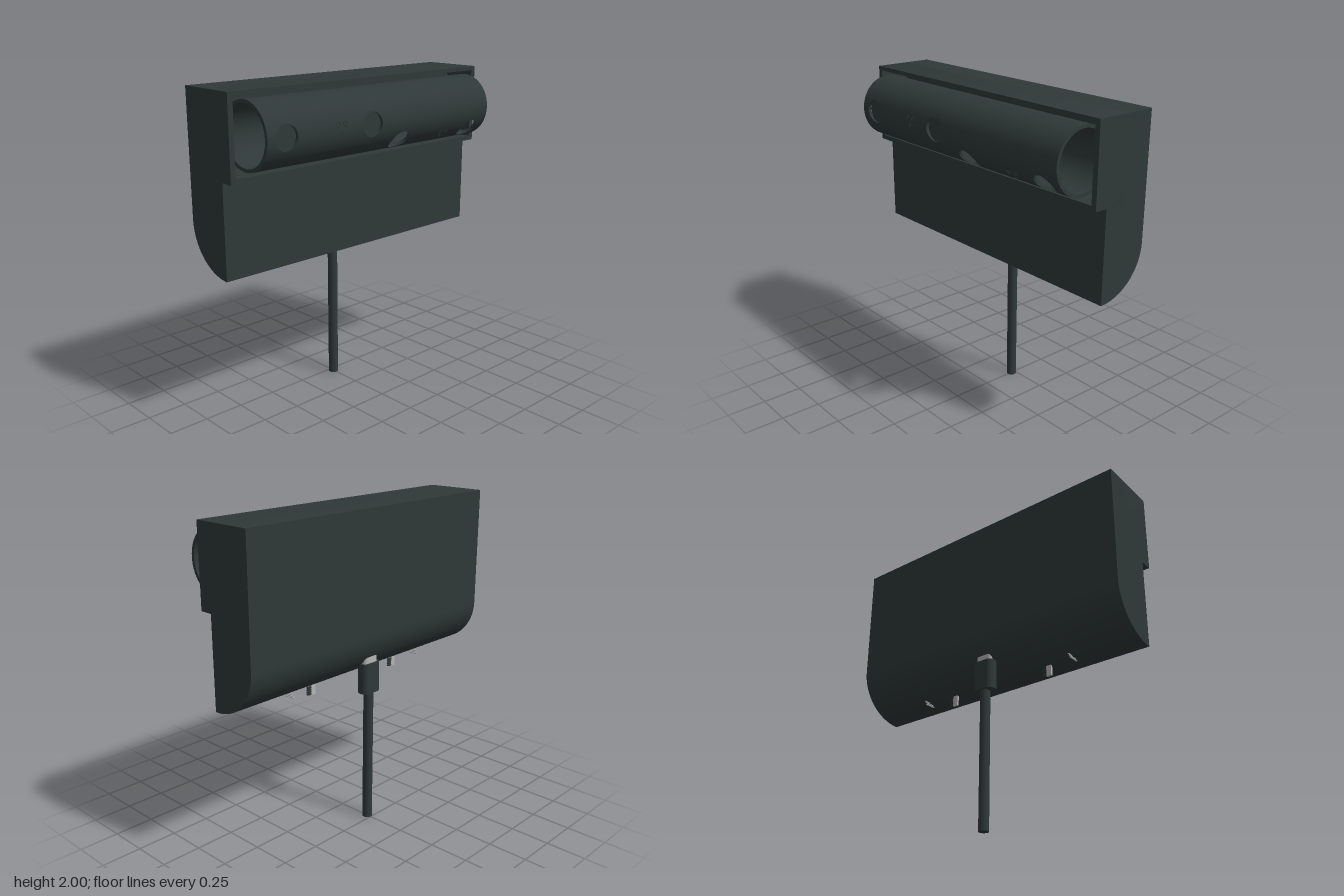
import * as THREE from 'three';
import { toCreasedNormals } from 'three/addons/utils/BufferGeometryUtils.js';
import { ParametricGeometry } from 'three/addons/geometries/ParametricGeometry.js';

const CY = 1.76, CZ = 0.1, R_OUT = 0.195, R_IN = 0.175; // tube axis and radii
const HOLE = 0.073, HALF_X = 0.1, HALF_A = 0.5;         // round holes and the patch around each

export function createModel() {
  const model = new THREE.Group();
  const casing = new THREE.MeshStandardMaterial({ color: 0x2f3838 });
  casing.name = 'dark casing';
  const shell = new THREE.MeshStandardMaterial({ color: 0x2f3838, side: THREE.DoubleSide });
  shell.name = 'dark casing thin';
  const metal = new THREE.MeshStandardMaterial({ color: 0xb4b4b4 });
  metal.name = 'light metal';

  const add = (name, geo, mat, x = 0, y = 0, z = 0, parent = model) => {
    const mesh = new THREE.Mesh(geo, mat);
    mesh.name = name;
    mesh.position.set(x, y, z);
    parent.add(mesh);
    return mesh;
  };
  const roundRect = (w, h, r) => {
    const s = new THREE.Shape(), x = w / 2, y = h / 2;
    s.moveTo(-x + r, -y);
    s.lineTo(x - r, -y).absarc(x - r, -y + r, r, -Math.PI / 2, 0);
    s.lineTo(x, y - r).absarc(x - r, y - r, r, 0, Math.PI / 2);
    s.lineTo(-x + r, y).absarc(-x + r, y - r, r, Math.PI / 2, Math.PI);
    s.lineTo(-x, -y + r).absarc(-x + r, -y + r, r, Math.PI, Math.PI * 1.5);
    return s;
  };
  const extrude = (shape, depth) => toCreasedNormals(
    new THREE.ExtrudeGeometry(shape, { depth, bevelEnabled: false, curveSegments: 24 }), 0.5);

  // Body: side profile with a rounded lower back edge (shape x is -z)
  const profile = new THREE.Shape();
  profile.moveTo(-0.02, 0.95);
  profile.absellipse(-0.02, 1.25, 0.31, 0.3, -Math.PI / 2, 0);
  profile.lineTo(0.29, 2);
  profile.lineTo(0.12, 2);
  profile.lineTo(0.12, 1.51);
  profile.lineTo(-0.02, 1.51);
  add('body', extrude(profile, 1.98).rotateY(Math.PI / 2), casing, -0.99);

  // Frame around the recess that holds the tube
  const frame = roundRect(1.98, 0.49, 0.0005);
  const opening = new THREE.Path();
  opening.moveTo(-0.957, -0.217);
  opening.lineTo(-0.957, 0.22);
  opening.lineTo(0.957, 0.22);
  opening.lineTo(0.957, -0.217);
  opening.closePath();
  frame.holes.push(opening);
  add('recessFrame', extrude(frame, 0.22), casing, 0, 1.755, -0.12);
  add('recessPlate', extrude(roundRect(1.91, 0.39, 0.05), 0.024), casing, 0, CY, -0.12);

  // Open tube: plain bands, and bands with a round hole cut at angle a
  const tube = new THREE.Group();
  tube.name = 'tube';
  model.add(tube);
  const onTube = (p, x, a, r) => p.set(x, CY + r * Math.sin(a), CZ + r * Math.cos(a));
  const surface = (name, fn, su, sv) => add(name, new ParametricGeometry(fn, su, sv), shell, 0, 0, 0, tube);
  const band = (x0, x1, a0, a1) => [R_OUT, R_IN].forEach((r) =>
    surface('tubeBand', (u, v, p) => onTube(p, x0 + v * (x1 - x0), a0 + u * (a1 - a0), r), 64, 1));
  const rim = (t, r) => [HOLE * Math.cos(t), Math.asin(HOLE * Math.sin(t) / r)];
  const holes = [[-0.76, 0], [-0.135, 0], [0.13, -0.76], [0.755, -0.76]];
  let edge = -0.89;
  for (const [hx, ha] of holes) {
    band(edge, hx - HALF_X, 0, Math.PI * 2);
    band(hx - HALF_X, hx + HALF_X, ha + HALF_A, ha + Math.PI * 2 - HALF_A);
    for (const r of [R_OUT, R_IN]) {
      surface('holeSurround', (u, v, p) => {
        const t = u * Math.PI * 2, c = Math.cos(t), s = Math.sin(t);
        const k = 1 / Math.max(Math.abs(c), Math.abs(s));
        const [x, a] = rim(t, r);
        onTube(p, hx + x + v * (HALF_X * c * k - x), ha + a + v * (HALF_A * s * k - a), r);
      }, 48, 5);
    }
    surface('holeWall', (u, v, p) => {
      const r = R_IN + v * (R_OUT - R_IN), [x, a] = rim(u * Math.PI * 2, r);
      onTube(p, hx + x, ha + a, r);
    }, 48, 1);
    edge = hx + HALF_X;
  }
  band(edge, 0.89, 0, Math.PI * 2);
  for (const x of [-0.89, 0.89]) {
    add('tubeEnd', new THREE.RingGeometry(R_IN, R_OUT, 64).rotateY(Math.PI / 2), shell, x, CY, CZ, tube);
  }

  // Buttons behind the two front holes
  for (const x of [-0.76, -0.135]) {
    add('button', new THREE.CylinderGeometry(HOLE, HOLE, 0.016, 40).rotateX(Math.PI / 2), casing, x, CY, 0.265);
  }

  // Clusters of three small studs
  for (const [cx, a] of [[-0.375, 0.09], [0.512, -0.72]]) {
    for (const [dx, da] of [[-0.027, 0.06], [0.027, 0.06], [0, -0.17]]) {
      const p = onTube(new THREE.Vector3(), cx + dx, a + da, R_OUT);
      const r = da > 0 ? 0.013 : 0.008;
      const stud = add('stud', new THREE.TorusGeometry(r, 0.003, 6, 16), casing, p.x, p.y, p.z);
      stud.rotation.x = -(a + da);
    }
  }

  // Cable with its plug, pushed in from below
  add('cable', new THREE.CylinderGeometry(0.031, 0.031, 0.87, 32), casing, 0, 0.435, -0.22);
  add('plug', extrude(roundRect(0.144, 0.082, 0.036), 0.19).rotateX(-Math.PI / 2), casing, 0, 0.863, -0.22);
  add('plugTip', extrude(roundRect(0.115, 0.05, 0.022), 0.09).rotateX(-Math.PI / 2), metal, 0, 1.05, -0.22);

  // Small metal fittings under the body
  for (const side of [-1, 1]) {
    add('tab', new THREE.BoxGeometry(0.035, 0.085, 0.014), metal, side * 0.365 - 0.014, 0.9475, -0.088);
    for (let i = 0; i < 4; i++) {
      add('tabTooth', new THREE.BoxGeometry(0.028, 0.009, 0.014), casing, side * 0.365 + 0.015, 0.913 + i * 0.014, -0.088);
    }
    for (let i = 0; i < 3; i++) {
      add('pin', new THREE.CylinderGeometry(0.004, 0.004, 0.07, 8).rotateX(Math.PI / 2), metal,
        side * 0.56 + (i - 1) * 0.006, 0.95 + i * 0.013, -0.11);
    }
  }
  return model;
}
